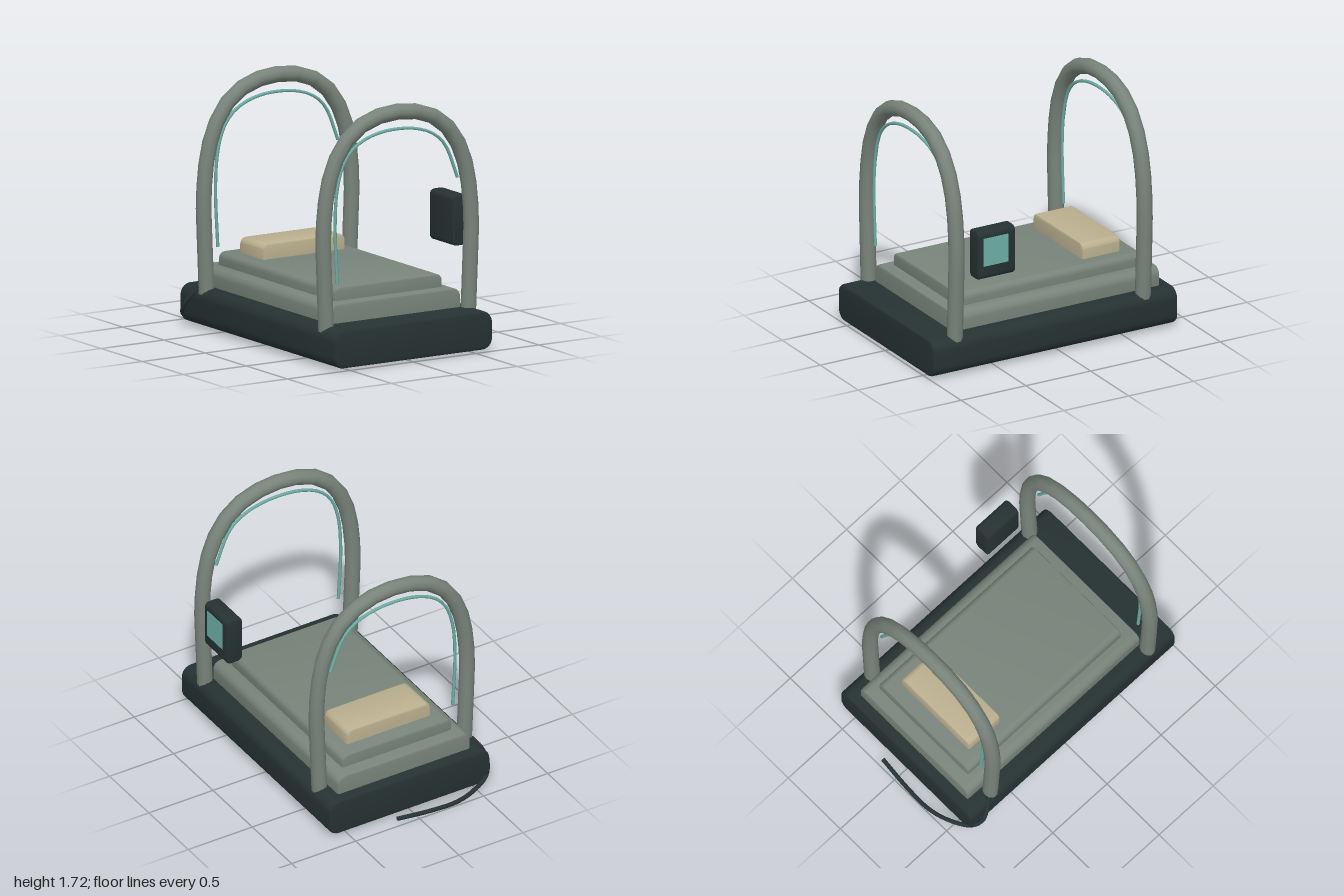
import * as THREE from 'three';
import { toCreasedNormals } from 'three/addons/utils/BufferGeometryUtils.js';

const material = (name, color, side = THREE.FrontSide) => {
  const m = new THREE.MeshStandardMaterial({ color, side });
  m.name = name;
  return m;
};

// Slab with a rounded cross-section in x/y, run along z with a small bevel at both ends
function slab(x0, x1, y0, y1, z0, z1, radius, bevel = 0.012) {
  const s = new THREE.Shape();
  const r = radius;
  s.moveTo(x0 + r, y0);
  s.lineTo(x1 - r, y0);
  s.absarc(x1 - r, y0 + r, r, -Math.PI / 2, 0);
  s.lineTo(x1, y1 - r);
  s.absarc(x1 - r, y1 - r, r, 0, Math.PI / 2);
  s.lineTo(x0 + r, y1);
  s.absarc(x0 + r, y1 - r, r, Math.PI / 2, Math.PI);
  s.lineTo(x0, y0 + r);
  s.absarc(x0 + r, y0 + r, r, Math.PI, Math.PI * 1.5);
  const g = new THREE.ExtrudeGeometry(s, {
    depth: z1 - z0 - 2 * bevel, bevelEnabled: true, bevelThickness: bevel,
    bevelSize: bevel, bevelOffset: -bevel, bevelSegments: 2, curveSegments: 5,
  });
  g.translate(0, 0, z0 + bevel);
  return toCreasedNormals(g, 0.6);
}

function tube(points, radius, segments, sides) {
  const curve = new THREE.CatmullRomCurve3(points.map((p) => new THREE.Vector3(...p)));
  return new THREE.TubeGeometry(curve, segments, radius, sides);
}

export function createModel() {
  const group = new THREE.Group();
  const dark = material('dark slate', 0x263232, THREE.DoubleSide);
  const grey = material('grey green', 0x78847b, THREE.DoubleSide);
  const tan = material('tan', 0xbbb08f);
  const teal = material('teal', 0x6cb0a6, THREE.DoubleSide);

  const add = (name, geometry, mat) => {
    const mesh = new THREE.Mesh(geometry, mat);
    mesh.name = name;
    group.add(mesh);
    return mesh;
  };

  // Stacked base, mattress layers and pillow
  add('base', slab(-0.62, 0.635, 0.02, 0.28, -0.89, 1.0, 0.075, 0.018), dark);
  add('lowerMattress', slab(-0.51, 0.523, 0.2, 0.41, -0.815, 0.78, 0.06), grey);
  add('upperMattress', slab(-0.42, 0.435, 0.36, 0.5, -0.725, 0.69, 0.045), grey);
  add('pillow', slab(-0.32, 0.333, 0.45, 0.605, -0.62, -0.33, 0.045), tan);

  // Arched hoops, mirrored about their own centre, each with a thin line inside
  const half = [[0.565, 0.24], [0.58, 0.6], [0.588, 0.9], [0.555, 1.2],
    [0.5, 1.37], [0.42, 1.5], [0.3, 1.6], [0.15, 1.655]];
  const arch = [
    ...half.map(([x, y]) => [0.006 - x, y, 0]),
    [0.006, 1.67, 0],
    ...half.slice().reverse().map(([x, y]) => [0.006 + x, y, 0]),
  ];
  const line = [[-0.47, 0.55], [-0.488, 0.95], [-0.47, 1.2], [-0.42, 1.36], [-0.35, 1.45],
    [-0.25, 1.51], [-0.12, 1.545], [0, 1.553], [0.12, 1.545], [0.25, 1.51],
    [0.34, 1.455], [0.4, 1.38], [0.485, 1.17]].map(([x, y]) => [x, y, 0]);
  const hoopGeometry = tube(arch, 0.054, 24, 10);
  const lineGeometry = tube(line, 0.011, 36, 6);
  for (const [end, z] of [['front', 0.797], ['rear', -0.655]]) {
    add(end + 'Hoop', hoopGeometry, grey).position.z = z;
    add(end + 'InnerLine', lineGeometry, teal).position.z = z;
  }

  // Control box with a thin screen on its outer face
  add('controlBox', slab(0.535, 0.658, 0.668, 1.012, 0.378, 0.665, 0.035), dark);
  const screen = add('screen', new THREE.BoxGeometry(0.006, 0.2, 0.19), teal);
  screen.position.set(0.658, 0.865, 0.53);

  // Cable trailing from the rear corner round the back
  const cable = [[-0.59, 0.27, -0.7], [-0.635, 0.2, -0.76], [-0.645, 0.13, -0.81],
    [-0.6, 0.07, -0.875], [-0.45, 0.035, -0.95], [-0.3, 0.02, -0.983],
    [-0.1, 0.022, -0.982], [0.15, 0.035, -0.962]];
  add('cable', tube(cable, 0.015, 32, 8), dark);

  return group;
}
